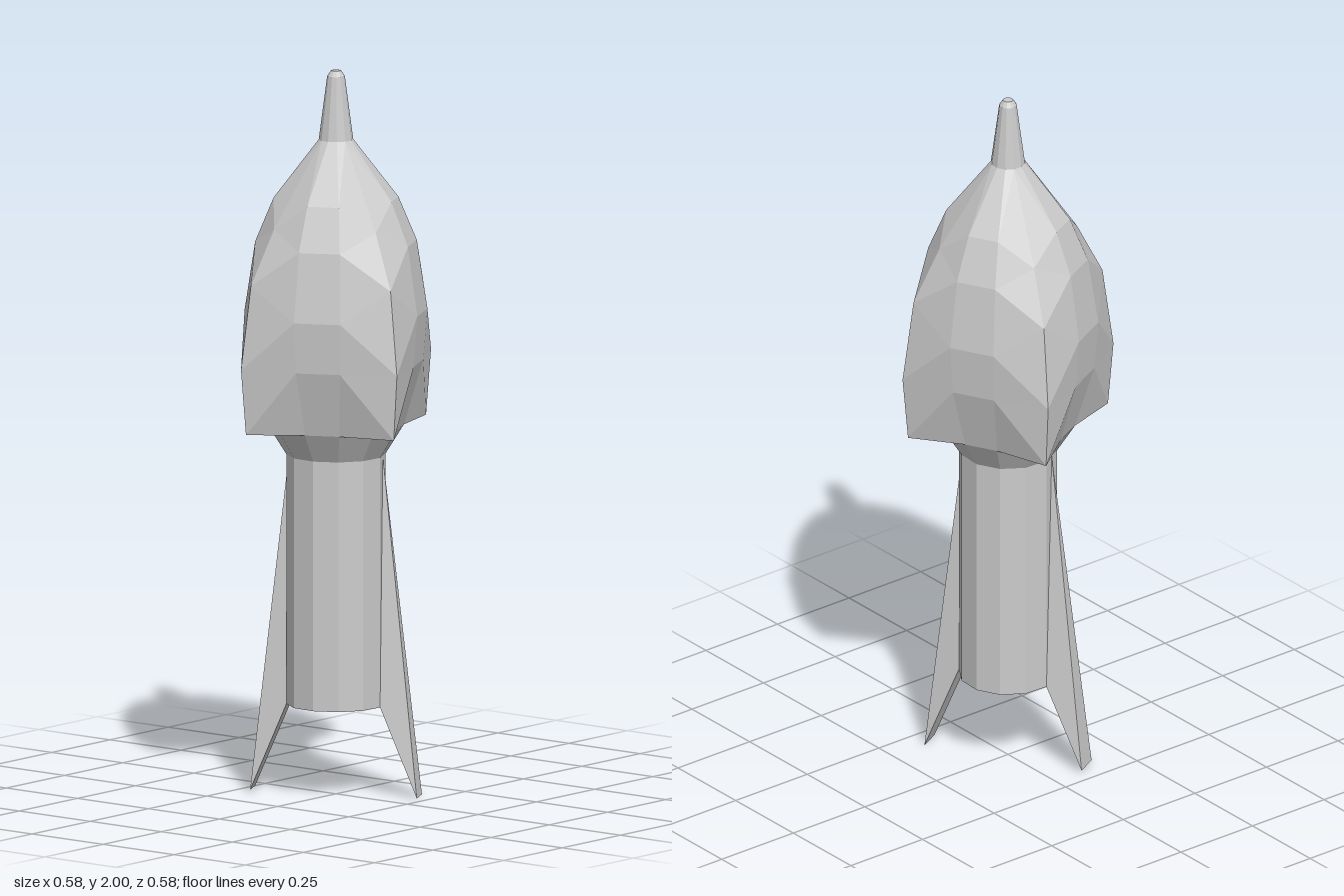
import * as THREE from 'three';

const SIDES = 12;
const TURN = THREE.MathUtils.degToRad(18);
const material = new THREE.MeshStandardMaterial({ color: 0xcccccc, flatShading: true });

// Point on a ring; every third point is a corner of the squarish section.
// ring = [corner radius, corner height, side radius, side height]
function ringPoint([cr, cy, sr, sy], k) {
  const a = TURN + (k / SIDES) * Math.PI * 2;
  const corner = k % 3 === 0;
  const r = corner ? cr : sr;
  return new THREE.Vector3(r * Math.cos(a), corner ? cy : sy, r * Math.sin(a));
}

const round = (r, y) => [r, y, r, y];

// Mesh from triangles given as corner points, dropping collapsed ones
function meshFrom(name, triangles) {
  const points = triangles
    .filter((t) => new THREE.Triangle(...t).getArea() > 1e-9)
    .flat();
  const geometry = new THREE.BufferGeometry().setFromPoints(points);
  geometry.computeVertexNormals();
  const mesh = new THREE.Mesh(geometry, material);
  mesh.name = name;
  return mesh;
}

// Skin over rings listed from bottom to top
function loft(name, rings) {
  const triangles = [];
  for (let i = 0; i < rings.length - 1; i++) {
    for (let k = 0; k < SIDES; k++) {
      const a = ringPoint(rings[i], k);
      const b = ringPoint(rings[i], k + 1);
      const c = ringPoint(rings[i + 1], k);
      const d = ringPoint(rings[i + 1], k + 1);
      // diagonals mirror about each corner ridge
      if (k % 3 === 2) triangles.push([b, a, d], [a, c, d]);
      else triangles.push([b, a, c], [b, c, d]);
    }
  }
  return meshFrom(name, triangles);
}

// Wedge that grows out of one stem facet, down and outwards
function fin(name, tipY) {
  const s1 = ringPoint(round(0.135, 0.25), 1);
  const s2 = ringPoint(round(0.135, 0.25), 2);
  const apex = s1.clone().add(s2).multiplyScalar(0.5).setY(0.94);
  const t1 = new THREE.Vector3(0.143, tipY, 0.185);
  const t2 = new THREE.Vector3(0.083, tipY, 0.216);
  return meshFrom(name, [
    [apex, t2, t1],
    [apex, t1, s1],
    [apex, s2, t2],
    [s1, t1, t2],
    [s1, t2, s2],
  ]);
}

export function createModel() {
  const group = new THREE.Group();
  group.name = 'finnedRocket';

  // Stem with closed base
  group.add(loft('stem', [round(0, 0.25), round(0.135, 0.25), round(0.135, 0.94)]));

  // Flaring neck
  group.add(loft('neck', [round(0.135, 0.94), round(0.185, 1.02)]));

  // Bulging head: notched underside with four drooping corners
  group.add(loft('head', [
    round(0.185, 1.02),
    [0.291, 1.02, 0.238, 1.2],
    [0.307, 1.2, 0.249, 1.34],
    [0.275, 1.43, 0.22, 1.53],
    [0.2, 1.58, 0.17, 1.65],
    round(0.047, 1.81),
  ]));

  // Tapered spike
  group.add(loft('spike', [
    round(0.047, 1.81),
    round(0.024, 1.985),
    round(0.014, 2),
    round(0, 2),
  ]));

  // Two opposite fins
  const frontFin = fin('frontFin', 0);
  const backFin = fin('backFin', 0.01);
  backFin.rotation.y = Math.PI;
  group.add(frontFin, backFin);

  return group;
}
